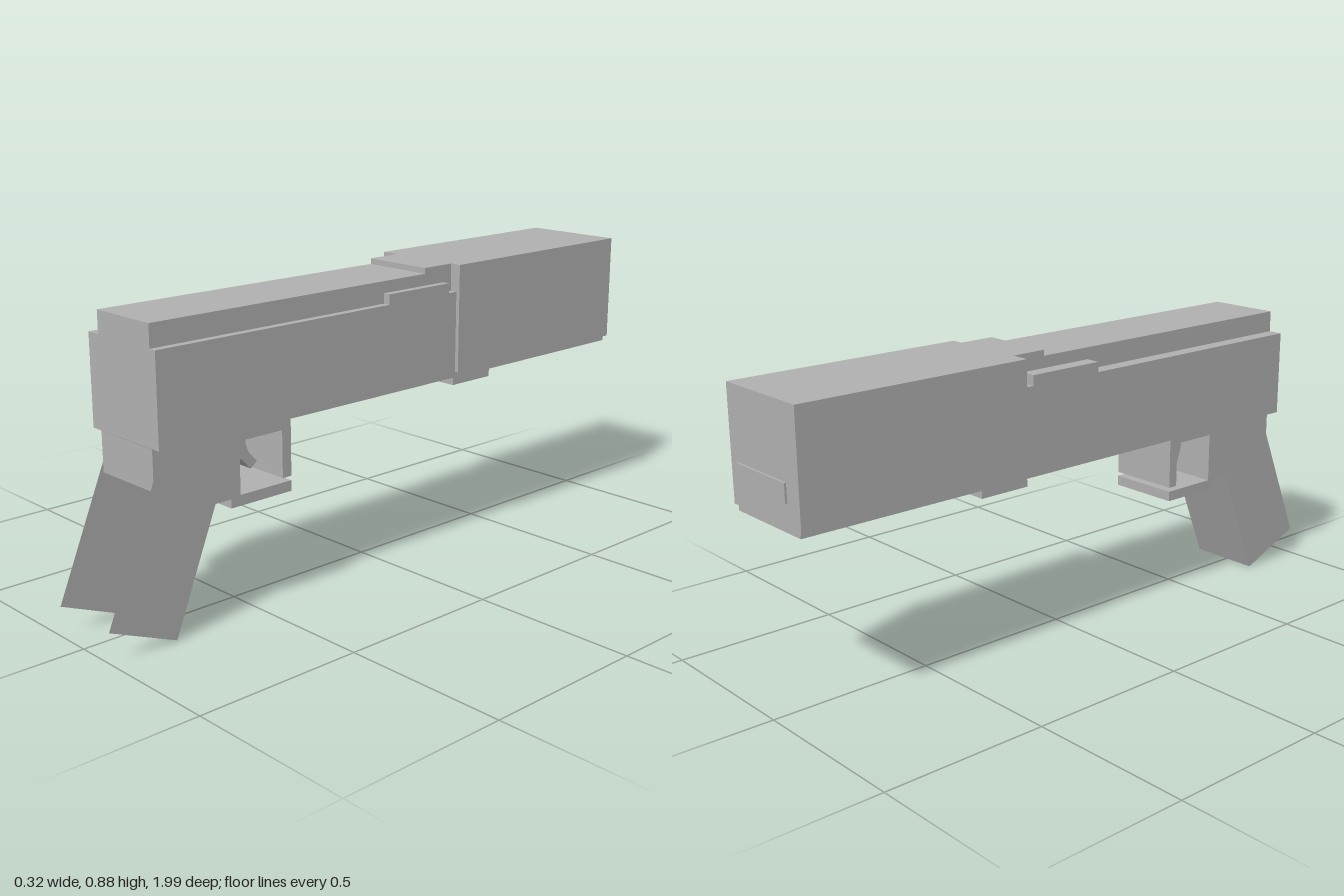
import * as THREE from 'three';

const grey = new THREE.MeshStandardMaterial({ color: 0xb0b0b0 });
grey.name = 'grey';
const greyShell = grey.clone();
greyShell.side = THREE.DoubleSide;

// shared width of the upper rail, grip and guard
const X0 = -0.103, X1 = 0.125;

function add(group, name, geometry, material = grey) {
  const mesh = new THREE.Mesh(geometry, material);
  mesh.name = name;
  group.add(mesh);
}

function box(group, name, x0, x1, y0, y1, z0, z1) {
  const g = new THREE.BoxGeometry(x1 - x0, y1 - y0, z1 - z0);
  g.translate((x0 + x1) / 2, (y0 + y1) / 2, (z0 + z1) / 2);
  add(group, name, g);
}

const outline = (points) => new THREE.Shape(points.map(([z, y]) => new THREE.Vector2(z, y)));

// flat sheet spanning the grip width along a side profile of [z, y] points
function sheet(points) {
  const pos = [];
  for (let i = 0; i + 1 < points.length; i++) {
    const [za, ya] = points[i], [zb, yb] = points[i + 1];
    pos.push(X0, ya, za, X1, ya, za, X1, yb, zb, X0, ya, za, X1, yb, zb, X0, yb, zb);
  }
  const g = new THREE.BufferGeometry();
  g.setAttribute('position', new THREE.Float32BufferAttribute(pos, 3));
  g.computeVertexNormals();
  return g;
}

export function createModel() {
  const model = new THREE.Group();
  model.name = 'blockyPistol';

  // long body with raised top rail
  box(model, 'body', -0.148, 0.148, 0.543, 0.805, -0.975, 0.84);
  box(model, 'topRail', X0, X1, 0.805, 0.87, -0.25, 0.84);
  box(model, 'railStep', X0, X1, 0.805, 0.887, -0.25, -0.137);
  for (const [x0, x1] of [[-0.148, X0], [X1, 0.148]]) {
    box(model, 'sideLug', x0, x1, 0.805, 0.835, -0.215, 0.03);
  }

  // large front block, slot plate and underside plate
  box(model, 'frontBlock', -0.16, 0.16, 0.56, 0.887, -0.98, -0.248);
  box(model, 'slotPlate', X0, X1, 0.625, 0.68, -0.986, -0.978);
  box(model, 'undersidePlate', -0.148, 0.148, 0.52, 0.543, -0.402, -0.24);

  // hollow grip, open at the back and bottom
  const grip = new THREE.Group();
  grip.name = 'grip';
  model.add(grip);
  const front = [[0.565, 0.545], [0.565, 0.352], [0.65, 0.352], [0.79, 0.003]];
  const back = [[1.0, 0.09], [0.845, 0.46], [0.845, 0.545]];
  for (const x of [X0, X1]) {
    const side = new THREE.ShapeGeometry(outline([...front, ...back]));
    side.rotateY(-Math.PI / 2).translate(x, 0, 0);
    add(grip, 'gripSide', side, greyShell);
  }
  add(grip, 'gripFront', sheet(front), greyShell);
  add(grip, 'gripBackPanel', sheet([[0.845, 0.43], [0.845, 0.545]]), greyShell);

  // trigger guard
  const guard = new THREE.Group();
  guard.name = 'triggerGuard';
  model.add(guard);
  box(guard, 'guardTop', X0, X1, 0.508, 0.543, 0.385, 0.565);
  box(guard, 'guardPost', X0, X1, 0.37, 0.51, 0.385, 0.416);
  box(guard, 'guardBottom', X0, X1, 0.326, 0.357, 0.385, 0.597);

  // curved trigger
  const trigger = new THREE.ExtrudeGeometry(outline([
    [0.512, 0.51], [0.512, 0.46], [0.5, 0.425], [0.468, 0.392],
    [0.447, 0.41], [0.475, 0.44], [0.486, 0.468], [0.486, 0.51],
  ]), { depth: 0.08, bevelEnabled: false });
  trigger.rotateY(-Math.PI / 2).translate(0.051, 0, 0);
  add(model, 'trigger', trigger);

  return model;
}
